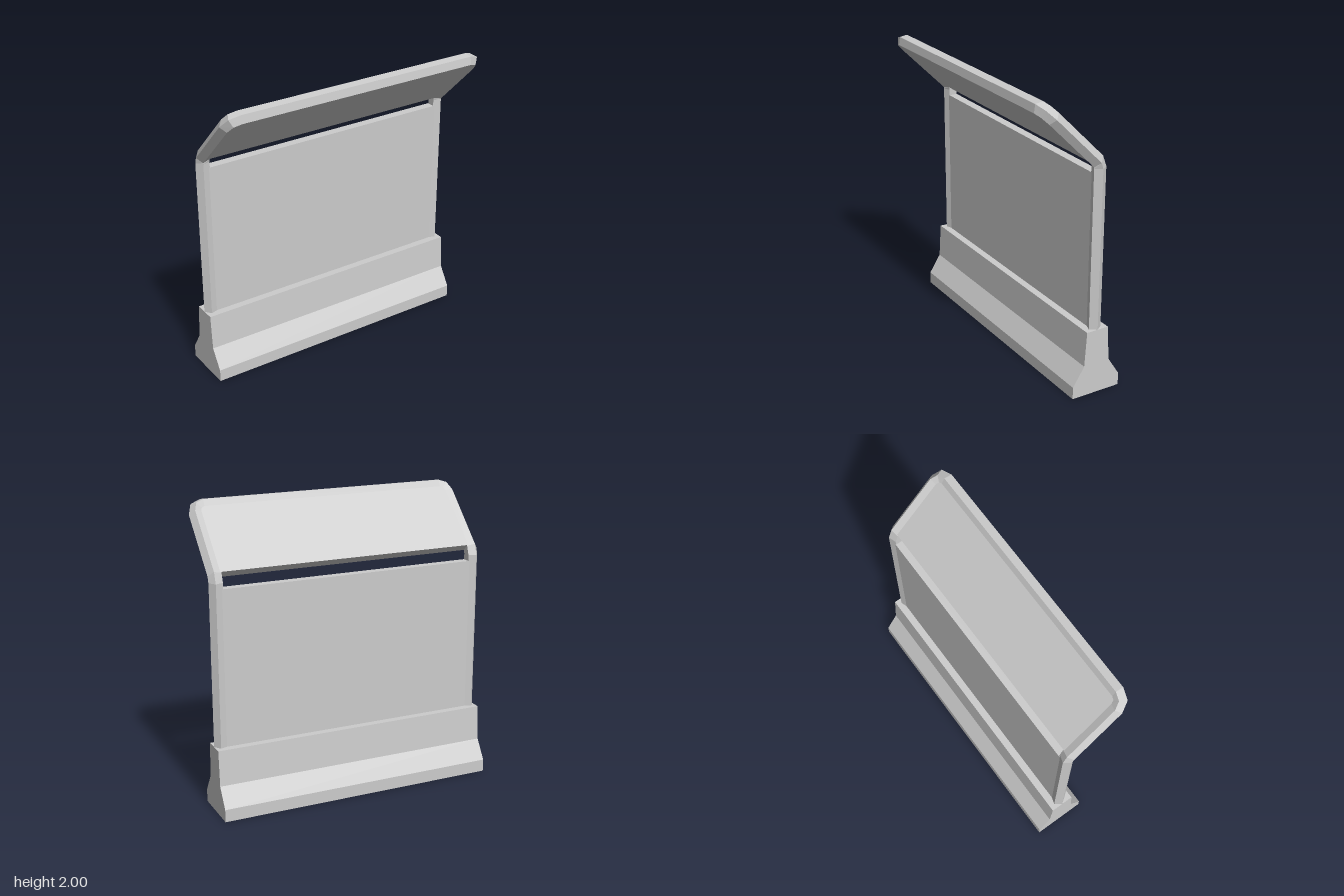
import * as THREE from 'three';

const HALF_WIDTH = 0.967;
const TUBE_RADIUS = 0.047;
const SIDES = 5;

// Sweeps a five-sided section through rings of { c: centre, u: outward, n: rear direction }
function sweep(rings) {
  const point = (ring, j) => {
    const a = (j / SIDES) * Math.PI * 2;
    return ring.c.clone()
      .addScaledVector(ring.u, TUBE_RADIUS * Math.cos(a))
      .addScaledVector(ring.n, TUBE_RADIUS * Math.sin(a));
  };
  const points = [];
  for (let i = 0; i < rings.length - 1; i++) {
    for (let j = 0; j < SIDES; j++) {
      const a = point(rings[i], j), b = point(rings[i], j + 1);
      const c = point(rings[i + 1], j + 1), d = point(rings[i + 1], j);
      points.push(a, b, c, a, c, d);
    }
  }
  const geometry = new THREE.BufferGeometry().setFromPoints(points);
  geometry.computeVertexNormals();
  return geometry;
}

export function createModel() {
  const group = new THREE.Group();
  const grey = new THREE.MeshStandardMaterial({ color: 0xcccccc, flatShading: true });
  grey.name = 'concrete grey';

  const add = (name, geometry) => {
    const mesh = new THREE.Mesh(geometry, grey);
    mesh.name = name;
    group.add(mesh);
    return mesh;
  };

  // Barrier base: stepped profile, mirrored about its own centre plane
  const baseCentre = -0.125;
  const half = [[0.178, 0], [0.178, 0.085], [0.095, 0.215], [0.08, 0.455]];
  const outline = [...half, ...half.map(([x, y]) => [-x, y]).reverse()];
  const shape = new THREE.Shape(outline.map(([x, y]) => new THREE.Vector2(x, y)));
  const baseGeometry = new THREE.ExtrudeGeometry(shape, { depth: HALF_WIDTH * 2, bevelEnabled: false });
  baseGeometry.translate(0, 0, -HALF_WIDTH);
  baseGeometry.rotateY(Math.PI / 2);
  add('barrierBase', baseGeometry).position.z = baseCentre;

  // Frame: posts, forward bend at 45 degrees and chamfered top corners in one sweep
  const V = (x, y, z) => new THREE.Vector3(x, y, z);
  const k = Math.SQRT1_2;
  const lean = V(0, k, k);
  const leanBack = V(0, k, -k);
  const top = V(0, 1.96, 0.262);
  const onLean = (x, drop) => top.clone().addScaledVector(lean, -drop).setX(x);
  const side = (s) => {
    const out = V(s, 0, 0), back = V(0, 0, -1), x = 0.92 * s;
    return [
      { c: V(x, 0.42, baseCentre), u: out, n: back },
      { c: V(x, 1.545, baseCentre), u: out, n: back },
      { c: V(x, 1.586, -0.112), u: out, n: leanBack },
      { c: onLean(x, 0.068), u: out, n: leanBack },
      { c: onLean(0.902 * s, 0.019), u: V(s * k, k * k, k * k), n: leanBack },
      { c: onLean(0.86 * s, 0), u: lean, n: leanBack },
    ];
  };
  add('frame', sweep([...side(1), ...side(-1).reverse()]));

  // Wall panel between the posts
  add('wallPanel', new THREE.BoxGeometry(1.79, 1.075, 0.06)).position.set(0, 0.9675, baseCentre);

  // Leaning upper panel
  const canopy = add('upperPanel', new THREE.BoxGeometry(1.79, 0.496, 0.06));
  canopy.position.set(0, 1.7645, 0.0665);
  canopy.rotation.x = Math.PI / 4;

  return group;
}
